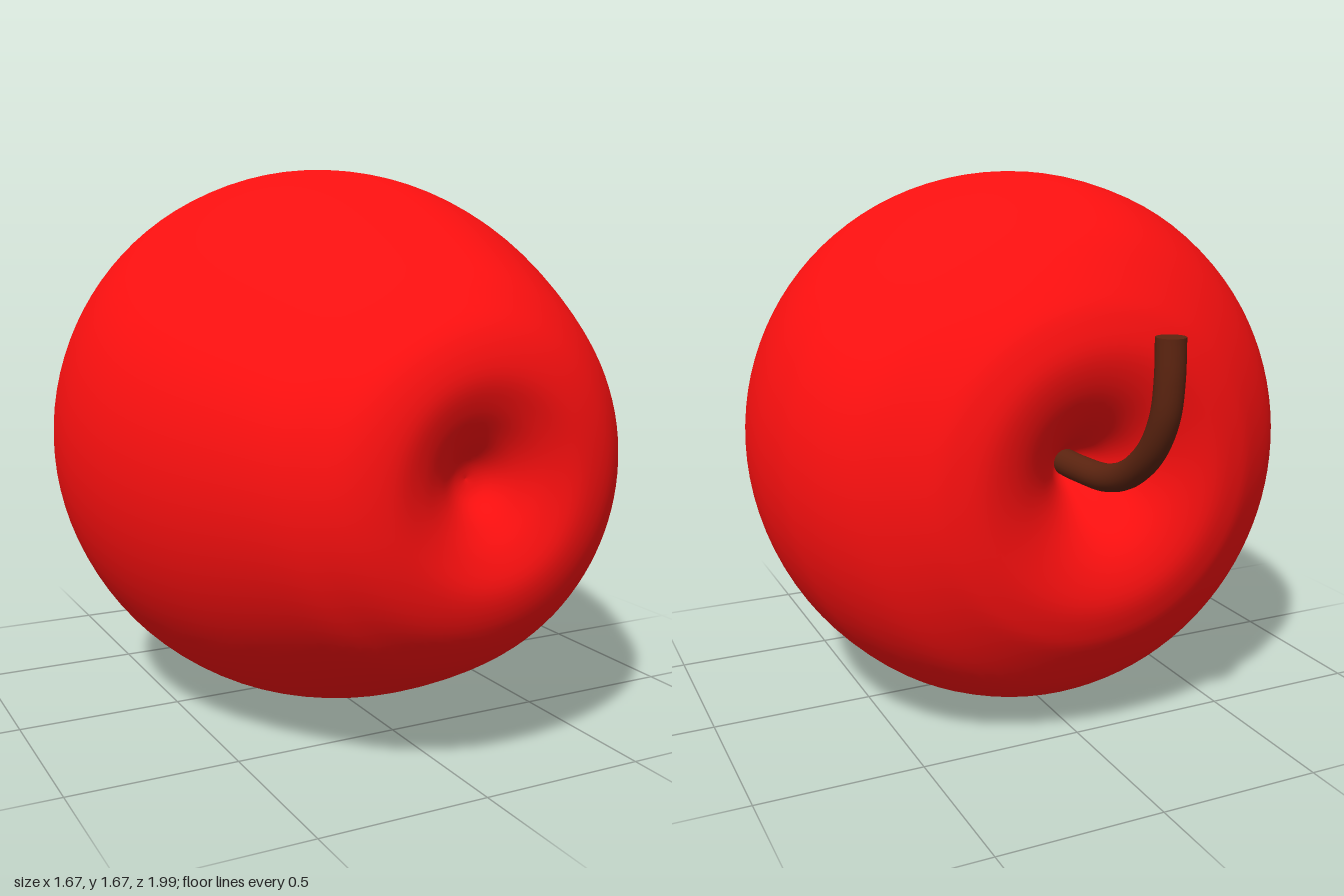
import * as THREE from 'three';

const CENTER_Y = 0.833;

// Fruit body: a smooth turned profile [radius, z] from the stem hollow to the blossom hollow
function createBody() {
  const profile = [
    [0, -0.36], [0.05, -0.42], [0.1, -0.5], [0.17, -0.575], [0.26, -0.63],
    [0.36, -0.654], [0.45, -0.638], [0.53, -0.6], [0.663, -0.5], [0.74, -0.4],
    [0.79, -0.29], [0.818, -0.18], [0.833, 0], [0.813, 0.2], [0.757, 0.4],
    [0.67, 0.6], [0.56, 0.8], [0.475, 0.9], [0.39, 0.965], [0.29, 0.993],
    [0.2, 0.973], [0.12, 0.93], [0.05, 0.88], [0, 0.865],
  ].map(([r, z]) => new THREE.Vector2(r, z));
  const points = new THREE.SplineCurve(profile).getPoints(110);
  points.forEach((p) => { p.x = Math.max(p.x, 0); });

  const geometry = new THREE.LatheGeometry(points, 96);
  geometry.rotateX(Math.PI / 2); // lay the fruit on its side
  const body = new THREE.Mesh(geometry, new THREE.MeshStandardMaterial({ color: 0xff1010 }));
  body.name = 'appleBody';
  body.position.y = CENTER_Y;
  return body;
}

// Stem: a bent tube rising out of the hollow, closed by a flat disc
function createStem() {
  const radius = 0.04;
  const material = new THREE.MeshStandardMaterial({ color: 0x5c2410 });
  const path = new THREE.CatmullRomCurve3([
    [0.833, -0.34], [0.835, -0.5], [0.85, -0.66], [0.895, -0.78],
    [0.98, -0.885], [1.08, -0.943], [1.18, -0.96], [1.29, -0.96],
  ].map(([y, z]) => new THREE.Vector3(0, y, z)));

  const stem = new THREE.Group();
  stem.name = 'stem';
  const shaft = new THREE.Mesh(new THREE.TubeGeometry(path, 48, radius, 20), material);
  shaft.name = 'stemShaft';
  const tip = new THREE.Mesh(new THREE.CircleGeometry(radius, 20), material);
  tip.name = 'stemTip';
  tip.rotation.x = -Math.PI / 2;
  tip.position.copy(path.getPoint(1));
  stem.add(shaft, tip);
  return stem;
}

export function createModel() {
  const apple = new THREE.Group();
  apple.name = 'apple';
  apple.add(createBody(), createStem());
  return apple;
}
